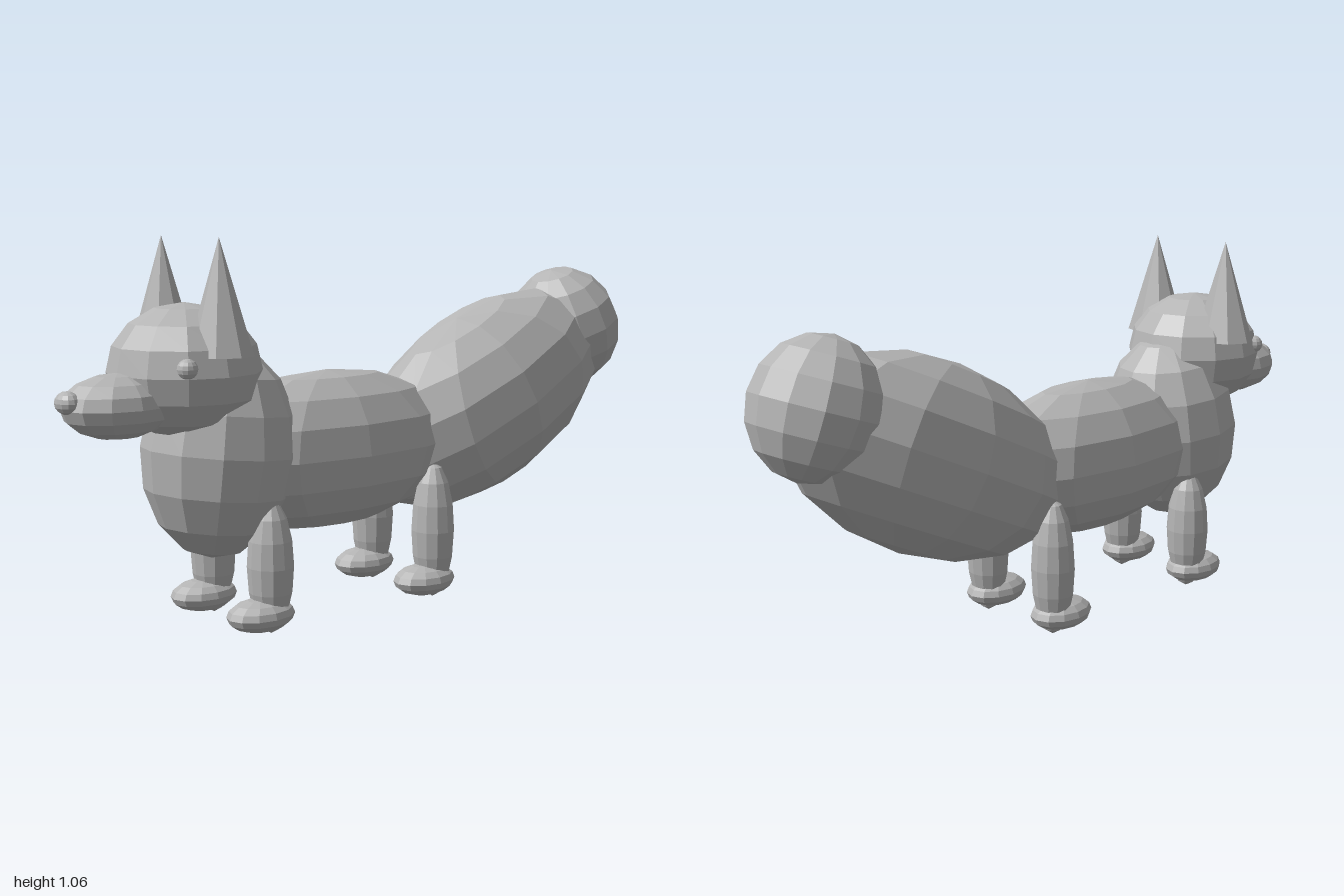
import * as THREE from 'three';

export function createModel() {
  const fox = new THREE.Group();
  fox.name = 'fox';
  const grey = new THREE.MeshStandardMaterial({ color: 0xb4b4b4, flatShading: true });
  grey.name = 'grey';
  const ball = new THREE.SphereGeometry(1, 12, 8);
  const cone = new THREE.ConeGeometry(1, 1, 8);

  function add(name, geometry, position, scale, tilt = 0) {
    const mesh = new THREE.Mesh(geometry, grey);
    mesh.name = name;
    mesh.position.set(...position);
    mesh.scale.set(...scale);
    mesh.rotation.z = THREE.MathUtils.degToRad(tilt);
    fox.add(mesh);
  }

  // Trunk and bushy tail
  add('chest', ball, [-0.52, 0.485, 0], [0.215, 0.29, 0.205], -6);
  add('body', ball, [-0.15, 0.455, 0], [0.46, 0.225, 0.195]);
  add('tail', ball, [0.46, 0.555, 0], [0.5, 0.268, 0.235], 25);
  add('tailTip', ball, [0.823, 0.75, 0], [0.173, 0.192, 0.18], 20);

  // Head
  add('head', ball, [-0.625, 0.71, 0], [0.205, 0.18, 0.205]);
  add('snout', ball, [-0.825, 0.635, 0], [0.158, 0.085, 0.12]);
  add('nose', ball, [-0.97, 0.655, 0], [0.03, 0.03, 0.04]);

  // Mirrored ears, eyes and legs
  for (const side of [1, -1]) {
    const label = side > 0 ? 'Near' : 'Far';
    add('ear' + label, cone, [-0.605, 0.91, side * 0.137], [0.083, 0.3, 0.094]);
    add('eye' + label, ball, [-0.723, 0.735, side * 0.165], [0.027, 0.027, 0.027]);
    for (const [end, x, height] of [['front', -0.455, 0.37], ['back', 0.13, 0.4]]) {
      add(end + 'Leg' + label, ball, [x, height / 2, side * 0.137], [0.063, height / 2, 0.065]);
      add(end + 'Foot' + label, ball, [x - 0.033, 0.057, side * 0.137], [0.1, 0.045, 0.074]);
    }
  }
  return fox;
}
